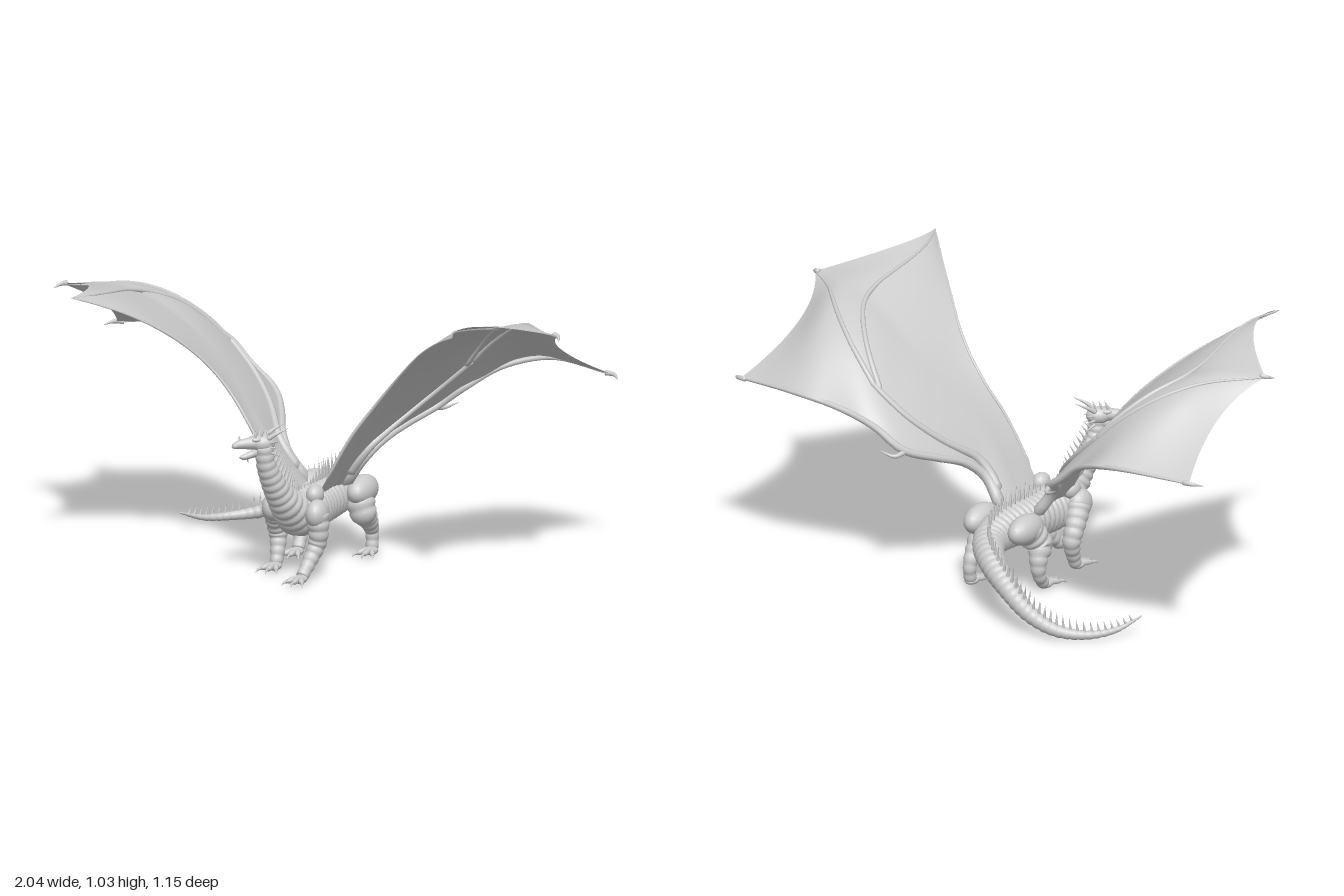
import * as THREE from 'three';
import { mergeVertices } from 'three/addons/utils/BufferGeometryUtils.js';

const grey = new THREE.MeshStandardMaterial({ color: 0xcccccc });
const skin = new THREE.MeshStandardMaterial({ color: 0xcccccc, side: THREE.DoubleSide });
const V = (p) => new THREE.Vector3(...p);
const curveOf = (pts) => new THREE.CatmullRomCurve3(pts.map((p) => (p.isVector3 ? p : V(p))));

function add(parent, name, geometry, material = grey) {
  const mesh = new THREE.Mesh(geometry, material);
  mesh.name = name;
  parent.add(mesh);
  return mesh;
}

function sampleList(list, t) {
  const x = t * (list.length - 1), i = Math.min(Math.floor(x), list.length - 2);
  return THREE.MathUtils.lerp(list[i], list[i + 1], x - i);
}

// Tapered tube with closed ends and optional overlapping scale bands
function taper(parent, name, pts, radii, { seg = 24, sides = 10, bands = 0, depth = 0.08 } = {}) {
  const curve = curveOf(pts);
  let g = new THREE.TubeGeometry(curve, seg, 1, sides);
  const pos = g.attributes.position, p = new THREE.Vector3();
  for (let i = 0; i <= seg; i++) {
    const u = i / seg, c = curve.getPointAt(u);
    let r = sampleList(radii, curve.getUtoTmapping(u));
    if (bands) r *= 1 - depth + depth * 1.6 * Math.abs(Math.sin(Math.PI * bands * u));
    if (i === 0 || i === seg) r = 0.0005;
    for (let j = 0; j <= sides; j++) {
      const k = i * (sides + 1) + j;
      p.fromBufferAttribute(pos, k).sub(c).multiplyScalar(r).add(c);
      pos.setXYZ(k, p.x, p.y, p.z);
    }
  }
  g.deleteAttribute('uv');
  g.deleteAttribute('normal');
  g = mergeVertices(g, 1e-5);
  g.computeVertexNormals();
  return add(parent, name, g);
}

function blob(parent, name, at, size, rot = [0, 0, 0]) {
  const m = add(parent, name, new THREE.SphereGeometry(1, 20, 14));
  m.position.set(...at);
  m.scale.set(...size);
  m.rotation.set(...rot);
  return m;
}

function spike(parent, name, base, dir, length, radius) {
  const m = add(parent, name, new THREE.ConeGeometry(radius, length, 6));
  m.quaternion.setFromUnitVectors(new THREE.Vector3(0, 1, 0), dir);
  m.position.copy(base).addScaledVector(dir, length / 2);
  return m;
}

// Neck, torso and tail: one banded sweep with a row of dorsal spines
function buildBody(root) {
  const path = [
    [-0.115, 0.51, 0.337], [-0.112, 0.45, 0.33], [-0.1, 0.39, 0.308], [-0.08, 0.32, 0.27],
    [-0.06, 0.265, 0.225], [-0.045, 0.225, 0.16], [-0.03, 0.22, 0.08], [-0.02, 0.222, 0],
    [-0.005, 0.226, -0.1], [0.008, 0.226, -0.2], [0, 0.218, -0.29], [-0.065, 0.198, -0.4],
    [-0.17, 0.145, -0.485], [-0.29, 0.075, -0.535], [-0.4, 0.032, -0.54], [-0.5, 0.018, -0.5],
    [-0.58, 0.025, -0.42], [-0.64, 0.06, -0.33]];
  const radii = [0.03, 0.034, 0.041, 0.05, 0.064, 0.084, 0.084, 0.079, 0.078, 0.072,
    0.06, 0.05, 0.04, 0.031, 0.023, 0.016, 0.011, 0.003];
  taper(root, 'body', path, radii, { seg: 360, sides: 20, bands: 60, depth: 0.06 });

  const spines = new THREE.Group();
  spines.name = 'dorsalSpines';
  root.add(spines);
  const curve = curveOf(path), up = new THREE.Vector3(0, 1, 0), count = 62;
  for (let i = 1; i < count; i++) {
    const u = 0.02 + 0.97 * i / count, t = curve.getUtoTmapping(u);
    const tan = curve.getTangentAt(u);
    const dir = up.clone().addScaledVector(tan, -tan.y).normalize();
    dir.addScaledVector(tan, -0.25).add(new THREE.Vector3(0, 0.35, 0)).normalize();
    const r = sampleList(radii, t);
    const length = sampleList([0.045, 0.06, 0.075, 0.05, 0.03, 0.085, 0.08, 0.075, 0.065, 0.055, 0.04, 0.025], t);
    spike(spines, 'spine', curve.getPointAt(u).addScaledVector(dir, r * 0.85), dir, length, 0.0035 + length * 0.05);
  }
}

function buildHead(root) {
  const head = new THREE.Group();
  head.name = 'head';
  head.position.set(-0.112, 0.51, 0.325);
  head.rotation.y = -1.0;
  root.add(head);
  blob(head, 'skull', [0, 0.008, 0.01], [0.033, 0.032, 0.045]);
  taper(head, 'upperJaw', [[0, 0.012, 0.01], [0, 0.01, 0.06], [0, 0.008, 0.1], [0, 0, 0.128]], [0.03, 0.022, 0.016, 0.008]);
  taper(head, 'lowerJaw', [[0, -0.012, 0.01], [0, -0.03, 0.05], [0, -0.04, 0.085], [0, -0.038, 0.1]], [0.024, 0.014, 0.01, 0.004]);
  spike(head, 'noseHorn', V([0, 0.018, 0.098]), V([0, 1, 0.1]).normalize(), 0.028, 0.006);
  spike(head, 'chinSpike', V([0, -0.045, 0.07]), V([0, -1, -0.3]).normalize(), 0.02, 0.005);
  for (const s of [-1, 1]) {
    blob(head, 'brow', [s * 0.02, 0.026, 0.04], [0.009, 0.008, 0.018]);
    taper(head, 'horn', [[s * 0.018, 0.025, 0], [s * 0.028, 0.045, -0.03], [s * 0.034, 0.066, -0.075]], [0.01, 0.007, 0.001], { sides: 8 });
    for (let i = 0; i < 3; i++) {
      spike(head, 'cheekSpike', V([s * 0.025, 0.012 - i * 0.016, -0.005]), V([s * 0.7, 0.3 - i * 0.35, -1]).normalize(), 0.045, 0.006);
      spike(head, 'crestSpike', V([s * 0.01, 0.03, 0.045 - i * 0.022]), V([s * 0.3, 1, -0.4]).normalize(), 0.032, 0.006);
    }
  }
}

// Each leg: joint path from hip to ankle, muscle plate on top, clawed foot
function buildLeg(root, name, pts, radii, plate, plateSize) {
  const leg = new THREE.Group();
  leg.name = name;
  root.add(leg);
  taper(leg, 'limb', pts, radii, { seg: 60, sides: 14, bands: 8, depth: 0.07 });
  blob(leg, 'musclePlate', plate, plateSize, [0, -0.1, 0]);
  const [x, , z] = pts[pts.length - 1];
  blob(leg, 'foot', [x, 0.014, z + 0.015], [0.026, 0.016, 0.036]);
  for (const a of [-0.6, -0.12, 0.36]) {
    const d = [Math.sin(a), Math.cos(a)];
    const at = (k, y) => [x + d[0] * k, y, z + 0.01 + d[1] * k];
    taper(leg, 'toe', [at(0.01, 0.017), at(0.045, 0.015), at(0.065, 0.011)], [0.013, 0.011, 0.007], { seg: 10, sides: 8 });
    taper(leg, 'claw', [at(0.06, 0.013), at(0.075, 0.012), at(0.09, 0.002)], [0.007, 0.005, 0.001], { seg: 8, sides: 6 });
  }
}

function buildLegs(root) {
  const front = [0.045, 0.036, 0.033, 0.026, 0.022], rear = [0.055, 0.05, 0.036, 0.025, 0.022];
  buildLeg(root, 'leftFrontLeg', [[0.04, 0.24, 0.2], [0.048, 0.17, 0.2], [0.04, 0.12, 0.198], [0.022, 0.06, 0.235], [0.008, 0.015, 0.28]],
    front, [0.042, 0.235, 0.2], [0.04, 0.053, 0.055]);
  buildLeg(root, 'rightFrontLeg', [[-0.135, 0.24, 0.15], [-0.145, 0.17, 0.1], [-0.142, 0.12, 0.08], [-0.138, 0.06, 0.1], [-0.138, 0.015, 0.12]],
    front, [-0.135, 0.24, 0.16], [0.04, 0.053, 0.055]);
  buildLeg(root, 'leftRearLeg', [[0.09, 0.24, -0.14], [0.115, 0.17, -0.125], [0.122, 0.135, -0.16], [0.125, 0.08, -0.2], [0.127, 0.015, -0.195]],
    rear, [0.105, 0.245, -0.15], [0.05, 0.055, 0.092]);
  buildLeg(root, 'rightRearLeg', [[-0.085, 0.24, -0.16], [-0.115, 0.17, -0.12], [-0.122, 0.13, -0.14], [-0.125, 0.07, -0.145], [-0.125, 0.015, -0.105]],
    rear, [-0.09, 0.245, -0.18], [0.05, 0.055, 0.092]);
}

// Wing rows run body to rim: trailing edge, membrane, middle finger, membrane, arm
const wingRows = [
  [[0.06, 0.27, 0.12], [0.2, 0.52, 0.11], [0.32, 0.68, 0.1], [0.42, 0.79, 0.145], [0.53, 0.89, 0.24], [0.64, 0.965, 0.35], [0.746, 1.022, 0.466]],
  [[0.06, 0.28, 0.07], [0.2, 0.5, 0.06], [0.32, 0.65, 0.03], [0.45, 0.79, 0.05], [0.57, 0.9, 0.12], [0.67, 0.975, 0.19], [0.765, 1.02, 0.265]],
  [[0.06, 0.28, 0], [0.19, 0.48, 0], [0.32, 0.63, -0.06], [0.46, 0.77, -0.08], [0.62, 0.89, -0.06], [0.79, 0.96, -0.02], [0.972, 0.95, 0.025]],
  [[0.06, 0.28, -0.06], [0.18, 0.45, -0.06], [0.29, 0.57, -0.17], [0.42, 0.7, -0.23], [0.58, 0.83, -0.27], [0.75, 0.89, -0.25], [0.905, 0.84, -0.18]],
  [[0.07, 0.27, -0.12], [0.165, 0.4, -0.117], [0.22, 0.46, -0.23], [0.32, 0.53, -0.39], [0.46, 0.63, -0.43], [0.628, 0.71, -0.527], [0.968, 0.695, -0.466]]];

function buildWing(parent, side) {
  const wing = new THREE.Group();
  wing.name = side > 0 ? 'leftWing' : 'rightWing';
  parent.add(wing);
  const flip = (p) => [p[0] * side, p[1], p[2]];
  const rows = wingRows.map((r) => curveOf(r.map(flip)));
  // Quadratic blend across each membrane bay keeps the finger tips pointed
  const surface = (u, v) => {
    const k = v < 0.5 ? 0 : 2, f = v * 2 - k / 2;
    return rows[k].getPoint(u).multiplyScalar(2 * (f - 0.5) * (f - 1))
      .addScaledVector(rows[k + 1].getPoint(u), -4 * f * (f - 1))
      .addScaledVector(rows[k + 2].getPoint(u), 2 * f * (f - 0.5));
  };
  const nu = 48, nv = 32, pos = [], idx = [];
  for (let i = 0; i <= nu; i++) for (let j = 0; j <= nv; j++) pos.push(...surface(i / nu, j / nv).toArray());
  for (let i = 0; i < nu; i++) for (let j = 0; j < nv; j++) {
    const a = i * (nv + 1) + j, b = a + nv + 1;
    idx.push(a, b, a + 1, b, b + 1, a + 1);
  }
  const g = new THREE.BufferGeometry();
  g.setAttribute('position', new THREE.Float32BufferAttribute(pos, 3));
  g.setIndex(idx);
  g.computeVertexNormals();
  add(wing, 'membrane', g, skin);

  // Arm along the leading edge, finger bones fanning from the wrist
  const bone = (name, from, to, radii) => taper(wing, name,
    Array.from({ length: 9 }, (_, i) => surface(from[0] + (to[0] - from[0]) * i / 8, from[1] + (to[1] - from[1]) * i / 8)),
    radii, { seg: 40, sides: 8 });
  bone('arm', [0, 1], [1, 1], [0.024, 0.018, 0.014, 0.015, 0.012, 0.01, 0.004]);
  bone('forearm', [0.05, 0.92], [0.62, 0.85], [0.02, 0.013, 0.011]);
  bone('middleFinger', [0.6, 0.86], [1, 0.5], [0.011, 0.008, 0.003]);
  bone('innerFinger', [0.58, 0.86], [1, 0], [0.011, 0.008, 0.003]);
  bone('trailingEdge', [0.05, 0], [1, 0], [0.006, 0.005, 0.002]);
  const claw = (pts) => taper(wing, 'wingClaw', pts.map(flip), [0.011, 0.008, 0.001], { seg: 12, sides: 8 });
  claw([[0.31, 0.525, -0.38], [0.33, 0.515, -0.43], [0.38, 0.535, -0.45]]);
  claw([[0.94, 0.697, -0.47], [0.98, 0.695, -0.465], [1.01, 0.685, -0.435]]);
  claw([[0.95, 0.955, 0.02], [0.975, 0.95, 0.03], [0.99, 0.94, 0.06]]);
  blob(wing, 'wingShoulder', flip([0.065, 0.295, 0.13]), [0.032, 0.036, 0.04]);
}

export function createModel() {
  const root = new THREE.Group();
  root.name = 'wingedReptile';
  buildBody(root);
  buildHead(root);
  buildLegs(root);
  const wings = new THREE.Group();
  wings.name = 'wings';
  wings.position.set(-0.03, 0, 0.02);
  wings.rotation.y = -0.107;
  root.add(wings);
  for (const side of [1, -1]) buildWing(wings, side);
  return root;
}
